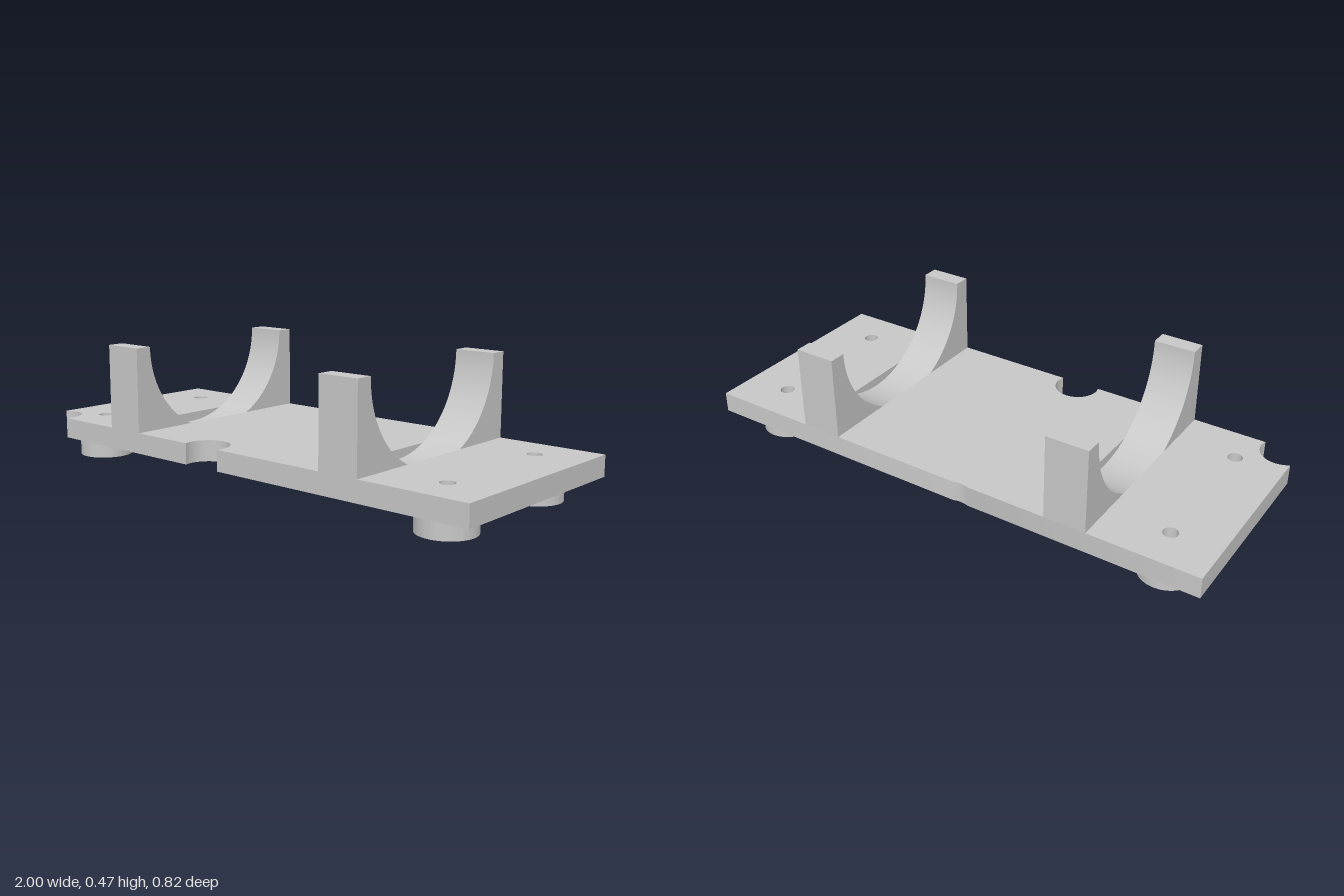
import * as THREE from 'three';
import { toCreasedNormals } from 'three/addons/utils/BufferGeometryUtils.js';

const PLATE_BOTTOM = 0.077, PLATE_TOP = 0.154, HALF_Z = 0.41;
const SCREW_X = 0.82, SCREW_Z = 0.257, HOLE_R = 0.027;
const CRADLE_X = [-0.515, 0.512], CRADLE_WIDTH = 0.157;
const SADDLE_R = 0.347, CRADLE_TOP = 0.467;
// half width of the saddle where it meets the top of the plate
const GROOVE_Z = Math.sqrt(SADDLE_R ** 2 - (CRADLE_TOP - PLATE_TOP) ** 2);

const extrude = (shape, depth) => toCreasedNormals(
  new THREE.ExtrudeGeometry(shape, { depth, bevelEnabled: false, curveSegments: 48 }), 0.5);

// Extrudes a shape drawn in (x, z) so it fills the heights from bottom to top
const slab = (shape, bottom, top) =>
  extrude(shape, top - bottom).rotateX(Math.PI / 2).translate(0, top, 0);

const circle = (x, z, r) => new THREE.Path().absarc(x, z, r, 0, Math.PI * 2, true);

const rectangle = (x, z, w, d) => new THREE.Path([
  new THREE.Vector2(x - w, z - d), new THREE.Vector2(x - w, z + d),
  new THREE.Vector2(x + w, z + d), new THREE.Vector2(x + w, z - d),
]);

function basePlate() {
  const r = 0.083, notchZ = 0.383;
  const front = Math.asin((HALF_Z - notchZ) / r);
  const back = Math.asin(0.078 / r);
  const s = new THREE.Shape();
  s.moveTo(1, -HALF_Z);
  s.lineTo(1, HALF_Z);
  // round notches in the front edge and the front corner
  s.absarc(-0.105, notchZ, r, front, Math.PI - front, true);
  s.absarc(-0.95, notchZ, r, front, -Math.acos(-0.05 / r), true);
  s.lineTo(-1, -HALF_Z);
  // shallow nick in the back edge
  s.absarc(-0.105, -HALF_Z - 0.078, r, Math.PI - back, back, true);
  s.closePath();
  for (const sz of [-1, 1]) {
    for (const sx of [-1, 1]) s.holes.push(circle(sx * SCREW_X, sz * SCREW_Z, HOLE_R));
    // pockets under the cradle posts
    for (const x of CRADLE_X) s.holes.push(rectangle(x, sz * 0.361, 0.047, 0.027));
  }
  // openings filled by the sunken middle of each cradle
  for (const x of CRADLE_X) s.holes.push(rectangle(x, 0, CRADLE_WIDTH / 2, GROOVE_Z));
  return slab(s, PLATE_BOTTOM, PLATE_TOP);
}

// Two posts joined by a round saddle that dips into the plate
function cradle() {
  const s = new THREE.Shape();
  s.moveTo(-GROOVE_Z, PLATE_BOTTOM);
  s.lineTo(GROOVE_Z, PLATE_BOTTOM);
  s.lineTo(GROOVE_Z, PLATE_TOP);
  s.lineTo(HALF_Z, PLATE_TOP);
  s.lineTo(HALF_Z, CRADLE_TOP);
  s.absarc(0, CRADLE_TOP, SADDLE_R, 0, -Math.PI, true);
  s.lineTo(-HALF_Z, CRADLE_TOP);
  s.lineTo(-HALF_Z, PLATE_TOP);
  s.lineTo(-GROOVE_Z, PLATE_TOP);
  s.closePath();
  return extrude(s, CRADLE_WIDTH).translate(0, 0, -CRADLE_WIDTH / 2).rotateY(Math.PI / 2);
}

function foot() {
  const s = new THREE.Shape().absarc(0, 0, 0.102, 0, Math.PI * 2, false);
  s.holes.push(circle(0, 0, HOLE_R));
  return slab(s, 0, PLATE_BOTTOM);
}

export function createModel() {
  const model = new THREE.Group();
  model.name = 'cradleMount';
  const grey = new THREE.MeshStandardMaterial({ color: 0xc8c8c8 });
  grey.name = 'grey';

  const add = (name, geometry) => {
    const mesh = new THREE.Mesh(geometry, grey);
    mesh.name = name;
    model.add(mesh);
    return mesh;
  };

  add('basePlate', basePlate());

  const cradleGeometry = cradle();
  CRADLE_X.forEach((x, i) => {
    add(i ? 'leftCradle' : 'rightCradle', cradleGeometry).position.x = x;
  });

  // four round feet with screw holes
  const footGeometry = foot();
  for (const sx of [-1, 1]) for (const sz of [-1, 1]) {
    const name = (sz > 0 ? 'front' : 'back') + (sx > 0 ? 'Left' : 'Right') + 'Foot';
    add(name, footGeometry).position.set(sx * SCREW_X, 0, sz * SCREW_Z);
  }
  return model;
}
